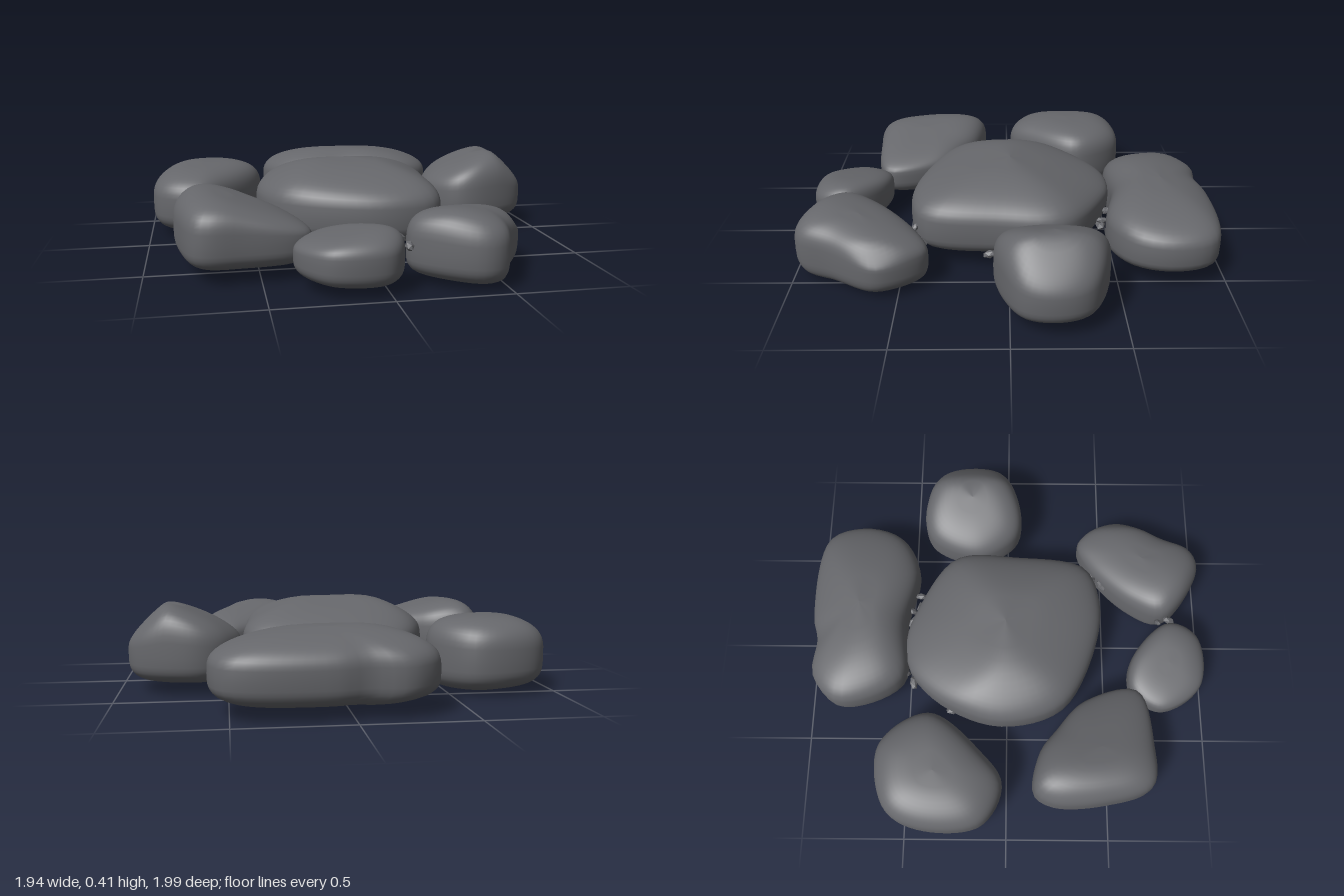
import * as THREE from 'three';

const stoneGrey = new THREE.MeshStandardMaterial({ color: 0x66676b });
stoneGrey.name = 'stoneGrey';

const AROUND = 56, UP = 26;

// Worn boulder: a plan outline (anticlockwise from above, [x, z]) swept through a rounded profile.
// The top is a flat crown, softly cut by sloping planes [height, slopeX, slopeZ].
function boulder(name, { base, waist, crown, tilt = 0, outline, cuts }) {
  const pts = outline.map(([x, z]) => new THREE.Vector3(x, 0, z));
  const ring = new THREE.CatmullRomCurve3(pts, true, 'centripetal').getSpacedPoints(AROUND).slice(0, AROUND);
  const mid = ring.reduce((s, p) => s.add(p), new THREE.Vector3()).divideScalar(AROUND);
  const soft = 0.01;
  const top = (x, z) => -soft * Math.log(cuts.reduce(
    (s, [h, a, b]) => s + Math.exp(-(h + a * x + b * z) / soft), Math.exp(-crown / soft)));
  const pos = [], index = [];
  for (let i = 0; i <= UP; i++) {
    const t = (i / UP - 0.5) * Math.PI;
    const s = Math.pow(Math.max(Math.cos(t), 0), 0.55);
    const v = Math.pow(Math.abs(Math.sin(t)), 0.55);
    for (const p of ring) {
      const x = mid.x + (p.x - mid.x) * s, z = mid.z + (p.z - mid.z) * s;
      const end = t > 0 ? top(x, z) : Math.max(base + tilt * (x - mid.x), 0.005);
      pos.push(x, waist + (end - waist) * v, z);
    }
  }
  for (let i = 0; i < UP; i++) for (let j = 0; j < AROUND; j++) {
    const a = i * AROUND + j, b = i * AROUND + (j + 1) % AROUND;
    index.push(a, b, b + AROUND, a, b + AROUND, a + AROUND);
  }
  const g = new THREE.BufferGeometry();
  g.setAttribute('position', new THREE.Float32BufferAttribute(pos, 3));
  g.setIndex(index);
  g.computeVertexNormals();
  const mesh = new THREE.Mesh(g, stoneGrey);
  mesh.name = name;
  return mesh;
}

// Small rock chips wedged in a gap, strewn along a line of given length and heading
const chipShape = new THREE.IcosahedronGeometry(1, 0);
function rubble(x, y, z, length, heading, count) {
  const group = new THREE.Group();
  group.name = 'rubble';
  group.position.set(x, y, z);
  group.rotation.y = heading;
  for (let i = 0; i < count; i++) {
    const chip = new THREE.Mesh(chipShape, stoneGrey);
    chip.name = 'rockChip';
    chip.position.set((i / (count - 1) - 0.5) * length, 0.03 * Math.sin(i * 2.3), 0.01 * Math.cos(i * 3.1));
    chip.rotation.set(0.4, i * 1.7, 0.3);
    const size = 0.035 + 0.01 * Math.sin(i * 4);
    chip.scale.set(size, size * 0.5, size * 0.6);
    group.add(chip);
  }
  return group;
}

export function createModel() {
  const model = new THREE.Group();
  model.name = 'stoneCluster';

  model.add(boulder('centreStone', {
    base: 0.05, waist: 0.2, crown: 0.43,
    outline: [[-0.05, -0.51], [-0.21, -0.48], [-0.38, -0.3], [-0.47, -0.02], [-0.38, 0.28],
      [-0.05, 0.45], [0.18, 0.47], [0.35, 0.4], [0.41, 0.05], [0.4, -0.27], [0.1, -0.47]],
    cuts: [[0.49, 0.3, 0], [0.45, -0.25, 0], [0.435, 0, -0.18], [0.43, 0, 0.27]],
  }));

  model.add(boulder('backStone', {
    base: 0.05, waist: 0.18, crown: 0.37,
    outline: [[-0.05, -0.96], [-0.23, -0.97], [-0.37, -0.83], [-0.25, -0.52], [0.07, -0.51],
      [0.35, -0.46], [0.53, -0.56], [0.59, -0.75], [0.52, -0.94], [0.08, -0.99]],
    cuts: [[0.56, 0, 0.26], [0.4, -0.16, 0], [0.4, 0.2, 0], [0.18, 0, -0.3]],
  }));

  model.add(boulder('backRightStone', {
    base: 0.02, waist: 0.17, crown: 0.36, tilt: -0.06,
    outline: [[-0.58, -0.62], [-0.88, -0.58], [-0.97, -0.42], [-0.95, -0.12], [-0.76, -0.02],
      [-0.61, -0.12], [-0.42, -0.38]],
    cuts: [[0.57, 0.26, 0], [0.32, 0, -0.15], [0.5, 0, 0.25]],
  }));

  model.add(boulder('leftStone', {
    base: 0.05, waist: 0.18, crown: 0.42,
    outline: [[0.64, -0.44], [0.51, -0.39], [0.43, -0.15], [0.53, 0.04], [0.66, 0.07],
      [0.92, -0.04], [0.96, -0.2], [0.9, -0.35]],
    cuts: [[0.13, 0.38, 0], [1.03, -0.78, 0], [0.41, 0, -0.25]],
  }));

  model.add(boulder('frontRightStone', {
    base: 0.05, waist: 0.18, crown: 0.37,
    outline: [[-0.61, 0.16], [-0.8, 0.13], [-0.86, 0.22], [-0.85, 0.48], [-0.77, 0.7],
      [-0.58, 0.715], [-0.29, 0.65], [-0.35, 0.38], [-0.5, 0.24]],
    cuts: [[0.16, -0.3, 0], [0.73, 0.45, 0], [0.42, 0, -0.1]],
  }));

  model.add(boulder('frontStone', {
    base: 0.04, waist: 0.15, crown: 0.29, tilt: -0.05,
    outline: [[-0.12, 0.63], [-0.28, 0.62], [-0.38, 0.77], [-0.26, 0.97], [0, 0.97], [0.07, 0.82]],
    cuts: [[0.28, 0.17, 0], [0.57, 0, -0.33]],
  }));

  model.add(boulder('frontLeftStone', {
    base: 0.01, waist: 0.15, crown: 0.36, tilt: -0.06,
    outline: [[0.53, 0.37], [0.4, 0.41], [0.17, 0.62], [0.1, 0.8], [0.36, 0.99], [0.47, 0.96],
      [0.54, 0.82], [0.66, 0.58]],
    cuts: [[0.42, -0.25, 0], [0.92, -1.1, 0], [0.16, 0, 0.22], [0.85, 0, -0.55]],
  }));

  // Chips in the gaps between neighbouring stones
  model.add(rubble(-0.41, 0.15, -0.31, 0.09, 1.9, 2));
  model.add(rubble(-0.22, 0.14, -0.49, 0.05, 0.3, 2));
  model.add(rubble(0.15, 0.16, -0.47, 0.14, -0.4, 4));
  model.add(rubble(0.43, 0.12, -0.08, 0.34, 1.57, 6));
  model.add(rubble(0.32, 0.17, 0.45, 0.1, 0.8, 3));
  model.add(rubble(0.085, 0.18, 0.8, 0.06, 1.57, 2));
  return model;
}
